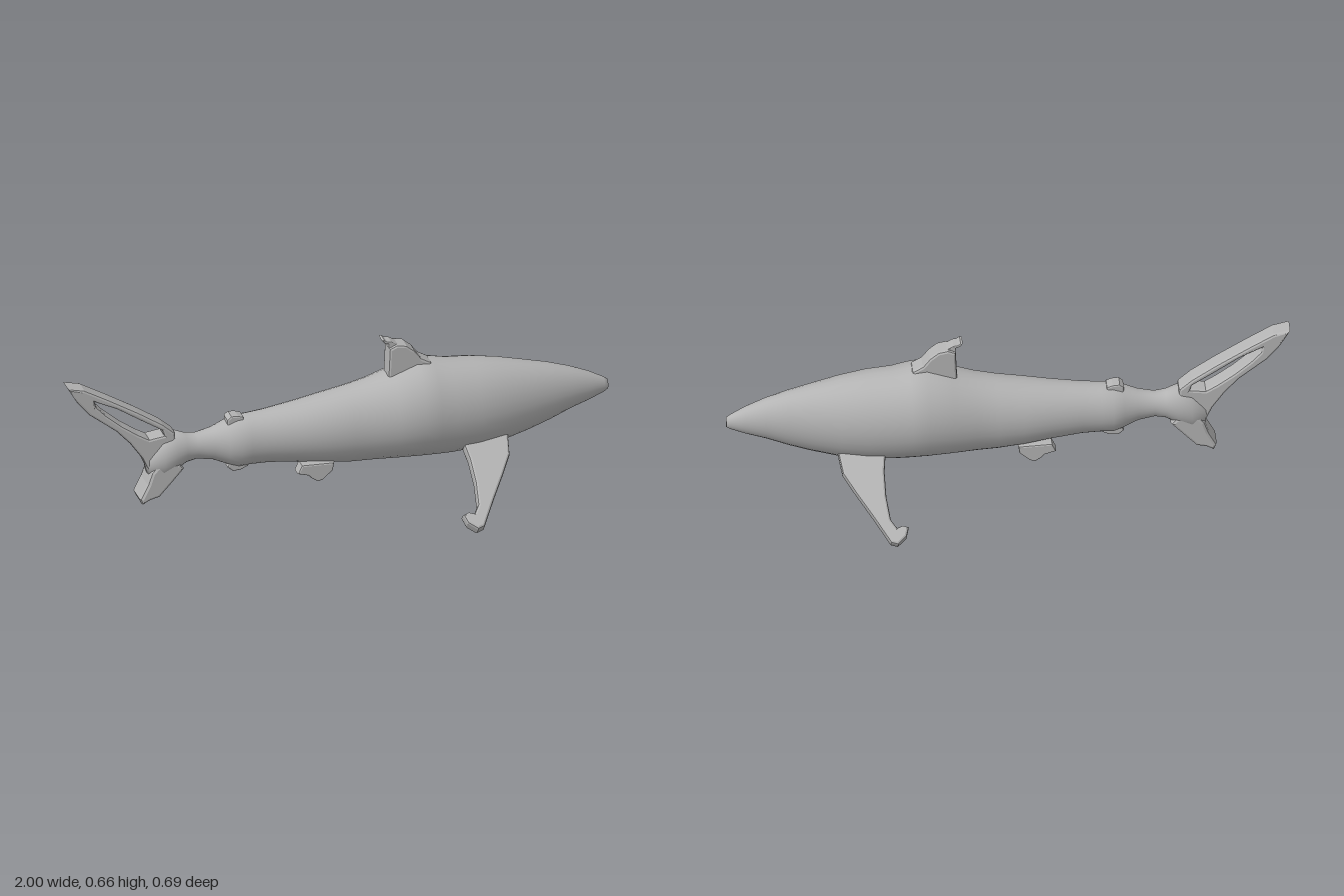
import * as THREE from 'three';

const grey = new THREE.MeshStandardMaterial({ color: 0xb4b4b4 });
grey.name = 'grey';

const pts = (list) => list.map(([x, y]) => new THREE.Vector2(x, y));

// Thick fin cut from an outline, centred on its own plane, with softened rims
function fin(name, outline, half, bevel = 0.012, hole = null) {
  const shape = new THREE.Shape(pts(outline));
  if (hole) shape.holes.push(new THREE.Path(pts(hole)));
  const geo = new THREE.ExtrudeGeometry(shape, {
    depth: 2 * (half - bevel), bevelEnabled: true, bevelThickness: bevel,
    bevelSize: bevel * 0.7, bevelOffset: -bevel * 0.7, bevelSegments: 2,
  });
  geo.translate(0, 0, -(half - bevel));
  const mesh = new THREE.Mesh(geo, grey);
  mesh.name = name;
  return mesh;
}

// Oval cross-sections from nose to tail root: x, top, bottom, half width
const sections = [
  [1, 0.333, 0.333, 0], [1, 0.352, 0.314, 0.013], [0.985, 0.363, 0.305, 0.02],
  [0.93, 0.393, 0.284, 0.037], [0.86, 0.422, 0.262, 0.055], [0.78, 0.448, 0.23, 0.073],
  [0.7, 0.468, 0.204, 0.092], [0.6, 0.492, 0.178, 0.116], [0.5, 0.509, 0.165, 0.134],
  [0.41, 0.517, 0.161, 0.139], [0.35, 0.53, 0.163, 0.146], [0.29, 0.537, 0.166, 0.15],
  [0.2, 0.505, 0.17, 0.137], [0.12, 0.481, 0.173, 0.119], [0.04, 0.463, 0.176, 0.111],
  [-0.05, 0.447, 0.187, 0.107], [-0.15, 0.43, 0.203, 0.094], [-0.26, 0.415, 0.216, 0.08],
  [-0.33, 0.409, 0.217, 0.075], [-0.37, 0.408, 0.216, 0.079], [-0.41, 0.395, 0.23, 0.066],
  [-0.46, 0.375, 0.253, 0.048], [-0.52, 0.362, 0.265, 0.041], [-0.56, 0.368, 0.257, 0.045],
  [-0.6, 0.384, 0.232, 0.057], [-0.65, 0.372, 0.205, 0.058], [-0.7, 0.32, 0.23, 0.04],
  [-0.71, 0.275, 0.275, 0],
];

function makeBody() {
  const sides = 28, position = [], index = [];
  sections.forEach(([x, top, bottom, w], i) => {
    for (let j = 0; j < sides; j++) {
      const a = (j / sides) * Math.PI * 2;
      position.push(x, (top + bottom) / 2 + ((top - bottom) / 2) * Math.cos(a), w * Math.sin(a));
      if (i === sections.length - 1) continue;
      const k = (j + 1) % sides, p = i * sides, q = p + sides;
      index.push(p + j, q + j, p + k, p + k, q + j, q + k);
    }
  });
  const geo = new THREE.BufferGeometry();
  geo.setAttribute('position', new THREE.Float32BufferAttribute(position, 3));
  geo.setIndex(index);
  geo.computeVertexNormals();
  const mesh = new THREE.Mesh(geo, grey);
  mesh.name = 'body';
  return mesh;
}

export function createModel() {
  const shark = new THREE.Group();
  shark.name = 'shark';
  shark.add(makeBody());

  // Dorsal fin with its small hooked tip
  shark.add(fin('dorsalFin', [[0.18, 0.45], [0.37, 0.45], [0.34, 0.532], [0.305, 0.552],
    [0.28, 0.585], [0.25, 0.61], [0.215, 0.617], [0.187, 0.605]], 0.035));
  shark.add(fin('dorsalTip', [[0.188, 0.6], [0.23, 0.61], [0.195, 0.63], [0.18, 0.632],
    [0.17, 0.64], [0.162, 0.638], [0.172, 0.625], [0.186, 0.62]], 0.024, 0.005));

  // Small fins along the rear of the body
  shark.add(fin('secondDorsalFin', [[-0.41, 0.37], [-0.34, 0.37], [-0.35, 0.412],
    [-0.37, 0.419], [-0.395, 0.421], [-0.41, 0.408]], 0.026, 0.008));
  shark.add(fin('analFin', [[-0.35, 0.25], [-0.33, 0.22], [-0.36, 0.206],
    [-0.39, 0.204], [-0.41, 0.222], [-0.4, 0.25]], 0.03, 0.008));

  // Upper tail lobe: an open frame around a long slot
  shark.add(fin('upperTailLobe',
    [[-1, 0.622], [-0.94, 0.609], [-0.85, 0.557], [-0.74, 0.49], [-0.65, 0.43], [-0.605, 0.39],
      [-0.6, 0.3], [-0.65, 0.235], [-0.7, 0.25], [-0.725, 0.305], [-0.77, 0.37], [-0.82, 0.425],
      [-0.92, 0.505], [-0.965, 0.56]], 0.035, 0.012,
    [[-0.9, 0.555], [-0.895, 0.535], [-0.86, 0.497], [-0.8, 0.445], [-0.74, 0.402], [-0.7, 0.378],
      [-0.645, 0.385], [-0.652, 0.405], [-0.74, 0.462], [-0.82, 0.515]]));

  // Lower tail lobe
  shark.add(fin('lowerTailLobe', [[-0.59, 0.27], [-0.575, 0.25], [-0.615, 0.205], [-0.665, 0.15],
    [-0.7, 0.142], [-0.728, 0.127], [-0.738, 0.15], [-0.71, 0.205], [-0.695, 0.25], [-0.65, 0.3]],
  0.05, 0.016));

  // Paired fins: built on slanted planes, mirrored left and right
  for (const [side, label] of [[1, 'left'], [-1, 'right']]) {
    const pectoral = fin(label + 'PectoralFin', [[0.44, -0.03], [0.61, -0.03], [0.598, 0.05],
      [0.555, 0.125], [0.5, 0.215], [0.445, 0.31], [0.42, 0.318], [0.388, 0.29], [0.378, 0.255],
      [0.4, 0.248], [0.42, 0.256], [0.44, 0.225], [0.45, 0.14], [0.45, 0.05]], 0.025, 0.012);
    const along = new THREE.Vector3(0, -0.635, 0.772 * side);
    const across = new THREE.Vector3(1, 0, 0);
    pectoral.setRotationFromMatrix(new THREE.Matrix4().makeBasis(
      across, along, across.clone().cross(along)));
    pectoral.position.set(0, 0.198, 0.09 * side);
    shark.add(pectoral);

    const pelvic = fin(label + 'PelvicFin', [[-0.03, 0.21], [-0.035, 0.18], [-0.055, 0.162],
      [-0.07, 0.148], [-0.09, 0.142], [-0.112, 0.156], [-0.125, 0.17], [-0.165, 0.182],
      [-0.15, 0.215]], 0.024, 0.008);
    pelvic.position.z = 0.054 * side;
    shark.add(pelvic);
  }
  return shark;
}
